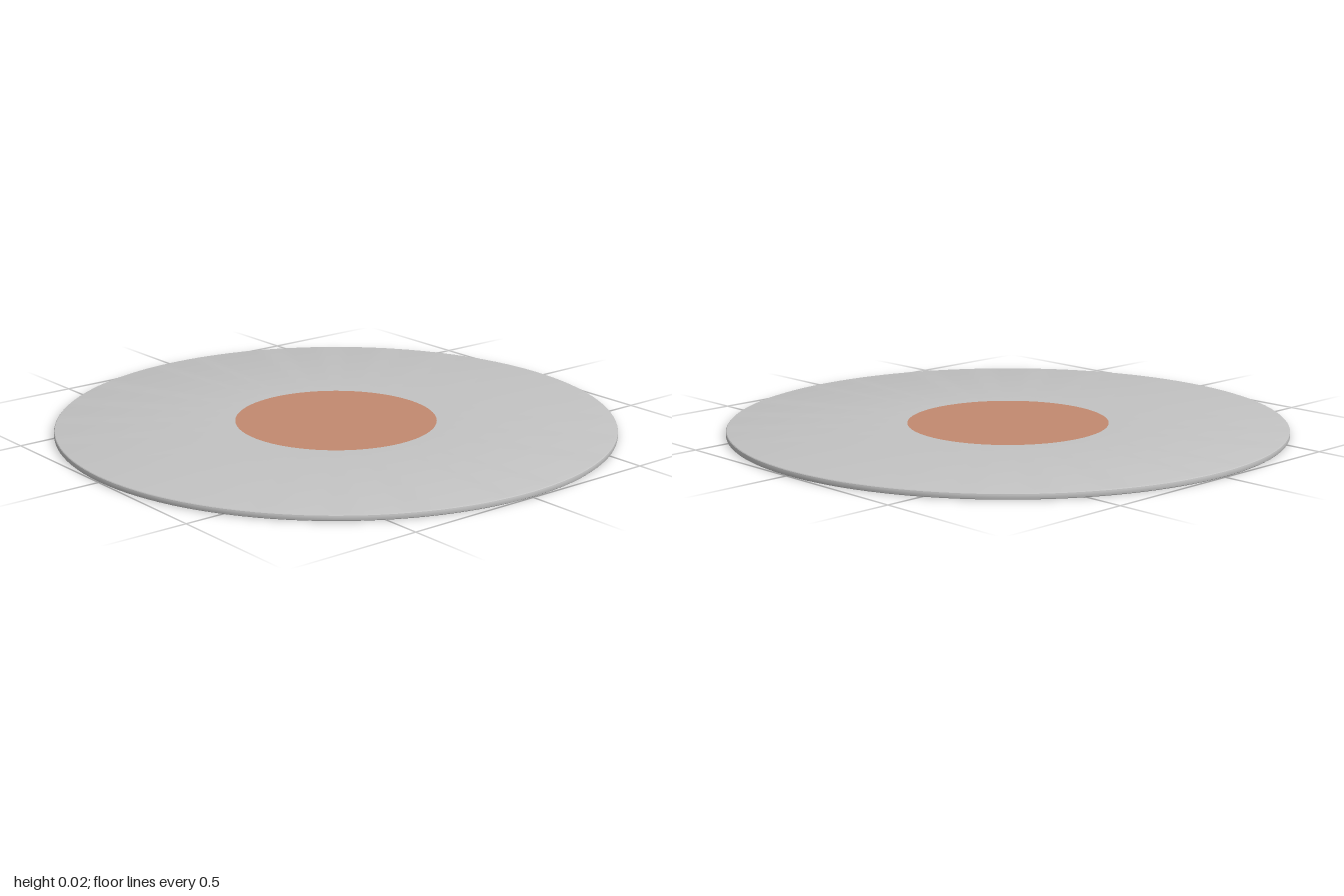
import * as THREE from 'three';
import { toCreasedNormals } from 'three/addons/utils/BufferGeometryUtils.js';

const HEIGHT = 0.022, LABEL_RADIUS = 0.36, BEVEL = 0.006, SEGMENTS = 128;

export function createModel() {
  const model = new THREE.Group();
  model.name = 'disc';
  const grey = new THREE.MeshStandardMaterial({ name: 'light grey', color: 0xc2c2c2 });
  const copper = new THREE.MeshStandardMaterial({ name: 'copper', color: 0xc2896f });

  // Disc body: flat underside, softened rim, flat top up to the label
  const profile = [new THREE.Vector2(0, 0), new THREE.Vector2(1 - BEVEL, 0)];
  for (const [centreY, start] of [[BEVEL, -Math.PI / 2], [HEIGHT - BEVEL, 0]]) {
    for (let i = 0; i <= 3; i++) {
      const a = start + (i / 3) * Math.PI / 2;
      if (start < 0 && i === 0) continue;
      profile.push(new THREE.Vector2(1 - BEVEL + BEVEL * Math.cos(a), centreY + BEVEL * Math.sin(a)));
    }
  }
  profile.push(new THREE.Vector2(LABEL_RADIUS, HEIGHT));
  const body = new THREE.Mesh(toCreasedNormals(new THREE.LatheGeometry(profile, SEGMENTS), 0.35), grey);
  body.name = 'discBody';

  // Round centre label, flush with the top
  const label = new THREE.Mesh(new THREE.CircleGeometry(LABEL_RADIUS, SEGMENTS).rotateX(-Math.PI / 2), copper);
  label.name = 'centreLabel';
  label.position.y = HEIGHT;

  model.add(body, label);
  return model;
}
